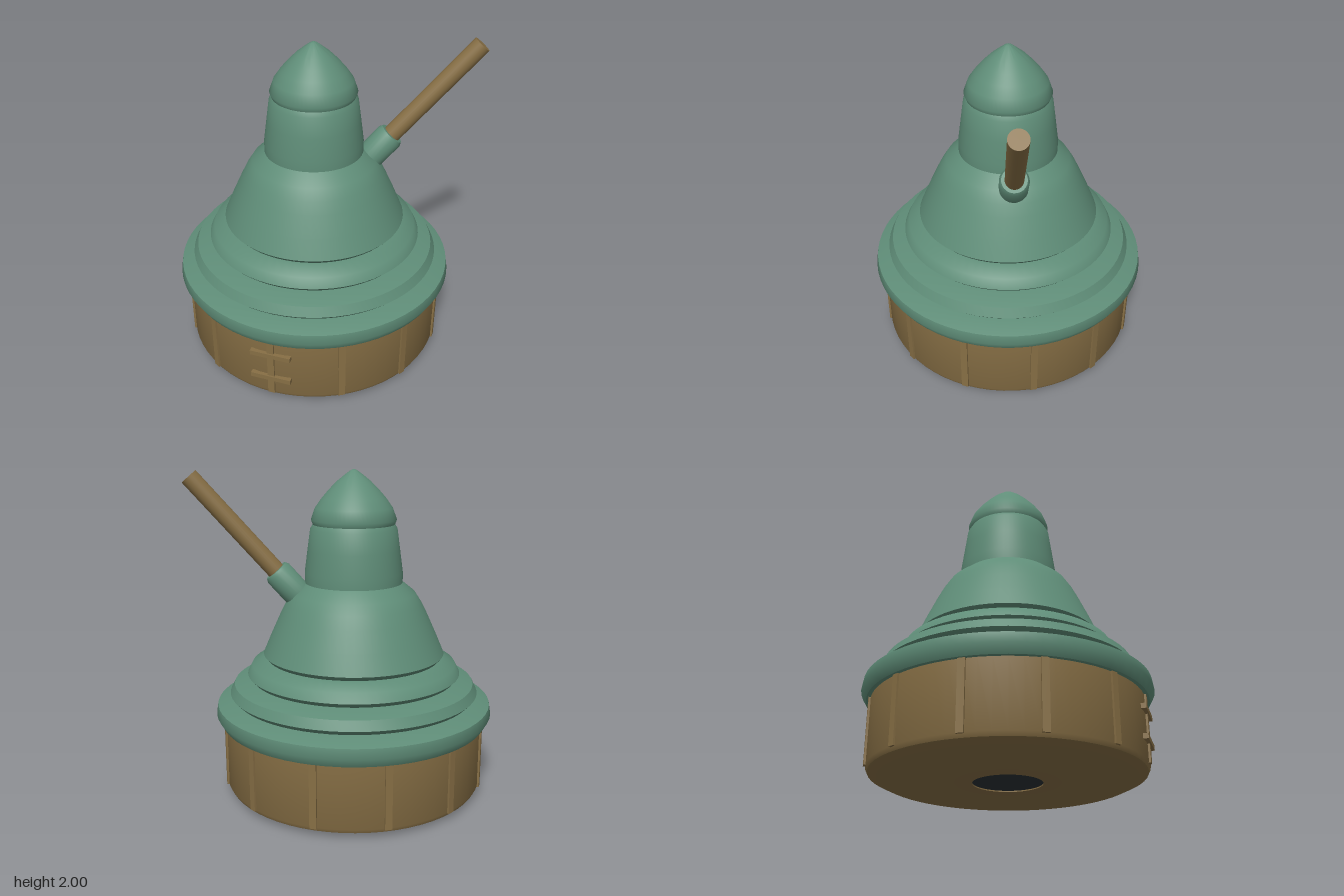
import * as THREE from 'three';
import { toCreasedNormals } from 'three/addons/utils/BufferGeometryUtils.js';

const green = new THREE.MeshStandardMaterial({ name: 'sage green', color: 0x5f8d78 });
const brown = new THREE.MeshStandardMaterial({ name: 'tan brown', color: 0x876f45 });
const dark = new THREE.MeshStandardMaterial({ name: 'dark slate', color: 0x2a3236 });

function add(parent, name, geometry, material) {
  const mesh = new THREE.Mesh(geometry, material);
  mesh.name = name;
  parent.add(mesh);
  return mesh;
}

// Surface of revolution from [radius, height] pairs, listed bottom to top on the outside
function turned(profile, crease = 0.8, segments = 64) {
  const points = profile.map(([r, y]) => new THREE.Vector2(r, y));
  return toCreasedNormals(new THREE.LatheGeometry(points, segments), crease);
}

export function createModel() {
  const model = new THREE.Group();
  model.name = 'tower';
  const body = new THREE.Group();
  body.name = 'body';
  body.position.x = -0.044;
  model.add(body);

  // Drum base with a recessed dark plug underneath
  add(body, 'base', turned([
    [0.205, 0.008], [0.205, 0], [0.725, 0], [0.8, 0.035], [0.812, 0.06], [0.812, 0.46],
  ], 0.6), brown);
  const plug = add(body, 'plug', new THREE.CircleGeometry(0.206, 48), dark);
  plug.rotation.x = Math.PI / 2;
  plug.position.y = 0.007;

  // Twelve upright battens
  for (let i = 0; i < 12; i++) {
    const pivot = new THREE.Group();
    pivot.name = 'battenPivot';
    pivot.rotation.y = (i * Math.PI) / 6;
    body.add(pivot);
    add(pivot, 'batten', new THREE.BoxGeometry(0.042, 0.4, 0.03), brown).position.set(0, 0.255, 0.808);
  }

  // Two cross bars on the front
  for (const y of [0.175, 0.348]) {
    add(body, 'crossBar', new THREE.BoxGeometry(0.25, 0.03, 0.034), brown).position.set(0, y, 0.815);
  }

  // Stacked skirt tiers
  add(body, 'rim', turned([
    [0.78, 0.45], [0.836, 0.45], [0.867, 0.505], [0.857, 0.565], [0.75, 0.603], [0.7, 0.605],
  ]), green);
  add(body, 'lowerTier', turned([
    [0.72, 0.595], [0.75, 0.603], [0.778, 0.632], [0.75, 0.688], [0.64, 0.722], [0.6, 0.724],
  ]), green);
  add(body, 'upperTier', turned([
    [0.6, 0.71], [0.64, 0.722], [0.666, 0.75], [0.636, 0.808], [0.54, 0.846], [0.5, 0.848],
  ]), green);

  // Bell dome and tapering neck
  add(body, 'dome', turned([
    [0.5, 0.84], [0.54, 0.846], [0.564, 0.873], [0.512, 0.995], [0.455, 1.12], [0.42, 1.19],
    [0.38, 1.253], [0.302, 1.317],
    [0.302, 1.38], [0.283, 1.52], [0.266, 1.645], [0.25, 1.672], [0.2, 1.675],
  ], 0.85), green);

  // Pointed cap
  add(body, 'cap', turned([
    [0.22, 1.67], [0.25, 1.672], [0.261, 1.7], [0.236, 1.77], [0.195, 1.828],
    [0.148, 1.882], [0.1, 1.93], [0.05, 1.97], [0.02, 1.992], [0, 2],
  ], 0.85), green);

  // Slanted pole in its socket, modelled along y and tilted outwards
  const tip = new THREE.Vector3(0.862, 1.96, -0.36);
  const direction = new THREE.Vector3(0.62, 0.75, -0.23).normalize();
  const arm = new THREE.Group();
  arm.name = 'arm';
  arm.position.copy(tip);
  arm.quaternion.setFromUnitVectors(new THREE.Vector3(0, 1, 0), direction);
  model.add(arm);
  add(arm, 'pole', new THREE.CylinderGeometry(0.055, 0.055, 0.85, 24), brown).position.y = -0.425;
  add(arm, 'socket', turned([
    [0, -0.94], [0.087, -0.94], [0.087, -0.775], [0.075, -0.753], [0, -0.753],
  ], 0.7, 24), green);

  return model;
}
